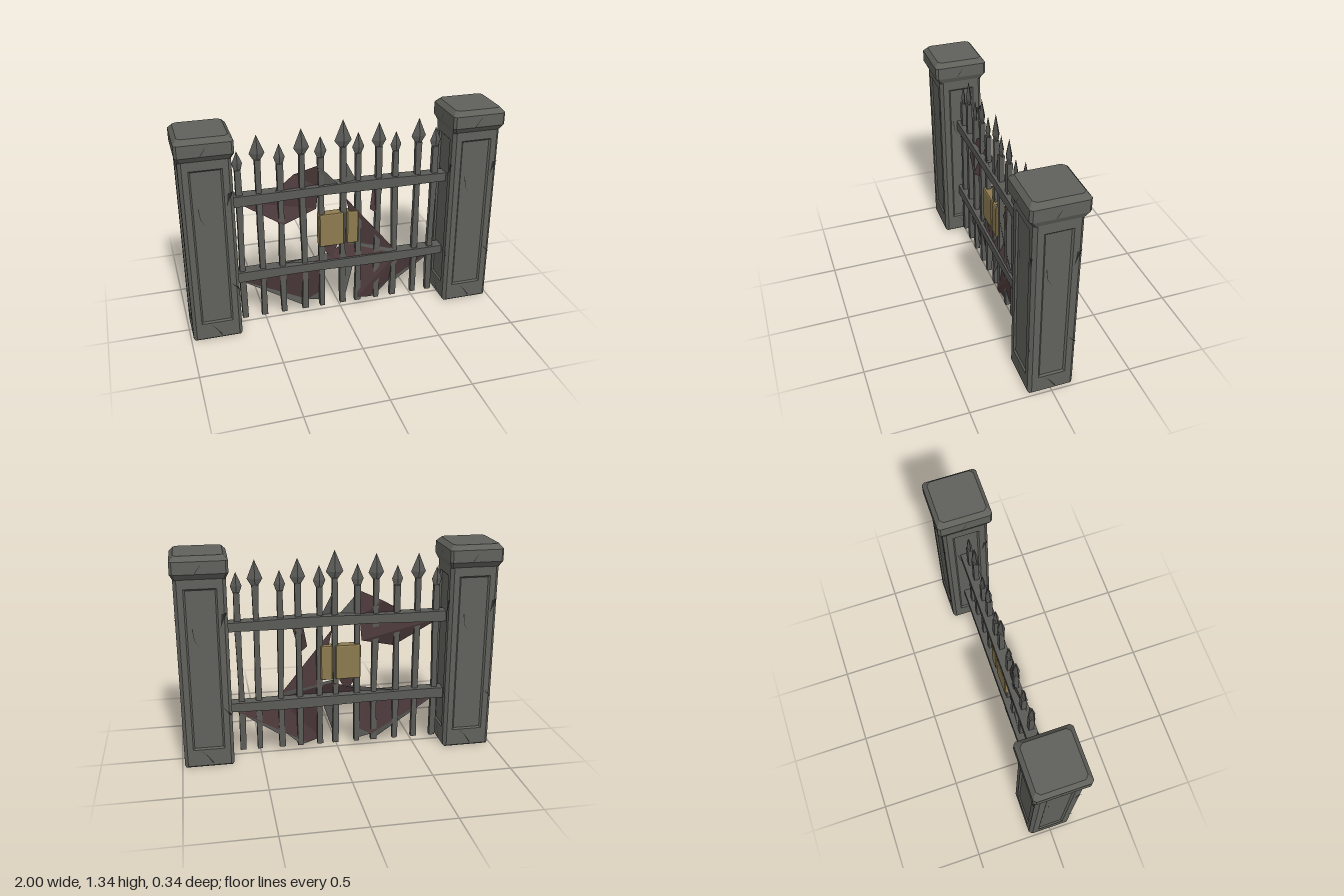
import * as THREE from 'three';

const mat = (name, color, side = THREE.FrontSide) => {
  const m = new THREE.MeshStandardMaterial({ color, side });
  m.name = name;
  return m;
};
const stone = mat('stone', 0x60615b);
const iron = mat('iron', 0x5a5b57);
const crackDark = mat('crack', 0x2b2b29, THREE.DoubleSide);
const rust = mat('rust cloth', 0x4c393a, THREE.DoubleSide);
const tornGrey = mat('torn grey', 0x595a56, THREE.DoubleSide);
const brass = mat('brass', 0x8c7a50);

function add(parent, name, geo, material) {
  const g = geo.index ? geo.toNonIndexed() : geo;
  g.computeVertexNormals();
  const mesh = new THREE.Mesh(g, material);
  mesh.name = name;
  parent.add(mesh);
  return mesh;
}

// Stack of chamfered rectangles; each ring is [y, halfX, halfZ, chamfer]
function loft(rings) {
  const loops = rings.map(([y, hx, hz, c]) => [
    [hx, hz - c], [hx - c, hz], [c - hx, hz], [-hx, hz - c],
    [-hx, c - hz], [c - hx, -hz], [hx - c, -hz], [hx, c - hz],
  ].map(([x, z]) => [x, y, z]));
  const out = [];
  const tri = (...p) => p.forEach((v) => out.push(...v));
  for (let r = 0; r + 1 < loops.length; r++) {
    for (let i = 0; i < 8; i++) {
      const j = (i + 1) % 8, lo = loops[r], hi = loops[r + 1];
      tri(lo[i], hi[i], lo[j]);
      tri(lo[j], hi[i], hi[j]);
    }
  }
  const top = loops[loops.length - 1], bottom = loops[0];
  for (let i = 1; i < 7; i++) {
    tri(top[0], top[i + 1], top[i]);
    tri(bottom[0], bottom[i], bottom[i + 1]);
  }
  const g = new THREE.BufferGeometry();
  g.setAttribute('position', new THREE.Float32BufferAttribute(out, 3));
  return g;
}

// Flat outline crumpled in depth by a wave, so it weaves between the pickets
function sheet(outline) {
  const g = new THREE.ShapeGeometry(new THREE.Shape(outline.map((q) => new THREE.Vector2(...q))));
  const p = g.attributes.position;
  for (let i = 0; i < p.count; i++) p.setZ(i, 0.024 * Math.sin(p.getX(i) * 13 + p.getY(i) * 9));
  return g;
}

// Tapering crack along a path of [x, y]
function crack(path, width, z) {
  const n = path.length - 1;
  const right = path.map(([x, y], i) => new THREE.Vector2(x + width * (1 - i / n), y + width * 0.5 * (1 - i / n)));
  const left = path.slice(0, n).reverse().map((q) => new THREE.Vector2(...q));
  return new THREE.ShapeGeometry(new THREE.Shape([...right, ...left])).translate(0, 0, z);
}

// Raised border with a sunken panel
function frameGeometry(half, panel) {
  const rect = (P, w, y0, y1) => new P([[-w, y0], [w, y0], [w, y1], [-w, y1]].map((q) => new THREE.Vector2(...q)));
  const shape = rect(THREE.Shape, half - 0.01, 0, 1.22);
  shape.holes.push(rect(THREE.Path, panel - 0.008, 0.128, 1.132));
  return new THREE.ExtrudeGeometry(shape, {
    depth: 0.002, bevelSegments: 1, bevelThickness: 0.01, bevelSize: 0.01, bevelOffset: -0.01,
  });
}

function pillar(name) {
  const g = new THREE.Group();
  g.name = name;
  const HX = 0.153, HZ = 0.14;
  add(g, 'pillarCore', loft([[0, HX - 0.01, HZ - 0.01, 0.002], [1.22, HX - 0.01, HZ - 0.01, 0.002]]), stone);
  add(g, 'pillarCap', loft([
    [1.195, 0.15, 0.137, 0.01], [1.235, 0.168, 0.168, 0.015],
    [1.31, 0.168, 0.168, 0.015], [1.34, 0.143, 0.143, 0.02],
  ]), stone);
  for (let k = 0; k < 4; k++) {
    const side = k % 2 === 1;
    const w = side ? HZ : HX, d = side ? HX : HZ;
    const face = new THREE.Group();
    face.name = 'pillarFace';
    face.rotation.y = k * Math.PI / 2;
    g.add(face);
    add(face, 'panelFrame', frameGeometry(w, side ? 0.08 : 0.095).translate(0, 0, d - 0.012), stone);
    // Cracks on border, sunken panel and cap
    add(face, 'upperCrack', crack([[w - 0.012, 0.99], [w - 0.035, 0.985], [w - 0.045, 0.9]], 0.006, d + 0.001), crackDark);
    add(face, 'lowerCrack', crack([[w - 0.012, 0.34], [w - 0.04, 0.37], [w - 0.05, 0.39]], 0.008, d + 0.001), crackDark);
    add(face, 'footCrack', crack([[0.02, 0.02], [-0.01, 0.07], [-0.05, 0.115]], 0.008, d + 0.001), crackDark);
    add(face, 'panelCrack', crack([[-0.06, 0.9], [-0.05, 0.83], [-0.02, 0.78]], 0.005, d - 0.009), crackDark);
    add(face, 'capCrack', crack([[-0.03, 1.238], [0, 1.28], [0.03, 1.308]], 0.008, 0.169), crackDark);
  }
  return g;
}

// Square bar with a flattened spear head; taller pickets get wider heads
function picket(x, tip, lean) {
  const g = new THREE.Group();
  g.name = 'picket';
  g.position.x = x;
  const half = (tip - 1) * 0.175, wide = tip - half * 2.45, neck = wide - 0.045;
  const bar = new THREE.BoxGeometry(0.036, neck - 0.03, 0.032, 1, 5, 1).translate(0, (neck + 0.04) / 2, 0);
  const p = bar.attributes.position;
  for (let i = 0; i < p.count; i++) {
    const y = p.getY(i);
    p.setX(i, p.getX(i) * (1 + 0.12 * Math.sin(y * 9 + x * 20)) + lean * Math.sin(y * 5));
  }
  add(g, 'picketBar', bar, iron);
  const profile = [[0, neck], [0.02, neck], [half, wide], [0, tip]].map((q) => new THREE.Vector2(...q));
  const head = new THREE.LatheGeometry(profile, 4).scale(1, 1, 0.42);
  add(g, 'spearHead', head, iron).position.x = lean * Math.sin(neck * 5);
  return g;
}

export function createModel() {
  const model = new THREE.Group();
  model.name = 'gate';

  for (const s of [-1, 1]) {
    const p = pillar(s > 0 ? 'leftPillar' : 'rightPillar');
    p.position.x = s * 0.832;
    model.add(p);
  }

  // Pickets: x and tip height
  [[-0.635, 1.18], [-0.51, 1.27], [-0.38, 1.2], [-0.24, 1.28], [-0.125, 1.22], [0.015, 1.31],
    [0.115, 1.22], [0.245, 1.27], [0.36, 1.2], [0.505, 1.27], [0.615, 1.2],
  ].forEach(([x, tip], i) => model.add(picket(x, tip, ((i * 3) % 5 - 2) * 0.002)));

  // Slightly warped rails
  for (const [name, y] of [['upperRail', 0.87], ['lowerRail', 0.343]]) {
    const rail = new THREE.BoxGeometry(1.38, 0.062, 0.076, 8, 1, 1);
    const p = rail.attributes.position;
    for (let i = 0; i < p.count; i++) {
      const x = p.getX(i);
      p.setY(i, p.getY(i) * (1 + 0.1 * Math.sin(x * 7)) + 0.004 * Math.sin(x * 4 + y * 9));
    }
    add(model, name, rail.translate(0, y, -0.005), iron);
  }

  // Ragged rust sheets hanging on the gate
  const rags = {
    upperSheet: [[-0.66, 0.85], [-0.37, 0.67], [-0.15, 0.73], [-0.14, 0.86]],
    upperSheetTop: [[-0.13, 0.88], [-0.15, 1.04], [-0.29, 0.98], [-0.43, 0.89]],
    smallRag: [[0.29, 0.85], [0.22, 0.85], [0.19, 0.7], [0.24, 0.66]],
    diagonalSheet: [[0.11, 0.45], [0.36, 0.39], [0.03, 0.8]],
    middleRag: [[-0.14, 0.49], [-0.06, 0.38], [0, 0.49]],
    middleSheet: [[-0.2, 0.37], [0.33, 0.37], [0.04, 0.46]],
    lowerSheet: [[-0.14, 0.33], [-0.67, 0.32], [-0.22, 0.08], [-0.14, 0.12]],
    lowerRag: [[0.36, 0.33], [0.11, 0.33], [0.11, 0.06], [0.2, 0.04], [0.34, 0.13]],
    lowerRagWing: [[0.67, 0.32], [0.36, 0.32], [0.34, 0.13]],
  };
  for (const name in rags) add(model, name, sheet(rags[name]), rust);

  // Grey tears and folded hems along the sheets
  const tears = {
    upperFold: [[-0.15, 1.05], [-0.13, 0.88], [-0.01, 0.89]],
    upperTear: [[0.02, 1.07], [0.02, 0.89], [0.11, 0.89]],
    middleFold: [[-0.42, 0.37], [-0.1, 0.37], [-0.08, 0.42]],
    middleHem: [[0.04, 0.46], [0.33, 0.37], [0.37, 0.39], [0.03, 0.48]],
    lowerHem: [[-0.67, 0.32], [-0.24, 0.04], [-0.22, 0.08]],
    lowerFold: [[-0.14, 0.12], [-0.22, 0.08], [-0.11, 0.055]],
    lowerTear: [[0.02, 0.32], [0.1, 0.32], [0.03, 0.11]],
    lowerRagHem: [[0.67, 0.32], [0.34, 0.13], [0.36, 0.11]],
    lowerRagTip: [[0.34, 0.13], [0.2, 0.04], [0.24, 0.035]],
  };
  for (const name in tears) add(model, name, sheet(tears[name]), tornGrey);

  // Lock plates on either side of the middle picket
  for (const [name, x0, x1] of [['wideLockPlate', -0.145, 0.018], ['narrowLockPlate', 0.034, 0.112]]) {
    const h = (x1 - x0) / 2;
    const plate = loft([
      [0.483, h - 0.004, 0.028, 0.005], [0.489, h, 0.032, 0.006],
      [0.699, h, 0.032, 0.006], [0.705, h - 0.004, 0.028, 0.005],
    ]);
    add(model, name, plate.translate((x0 + x1) / 2, 0, 0), brass);
  }
  return model;
}
